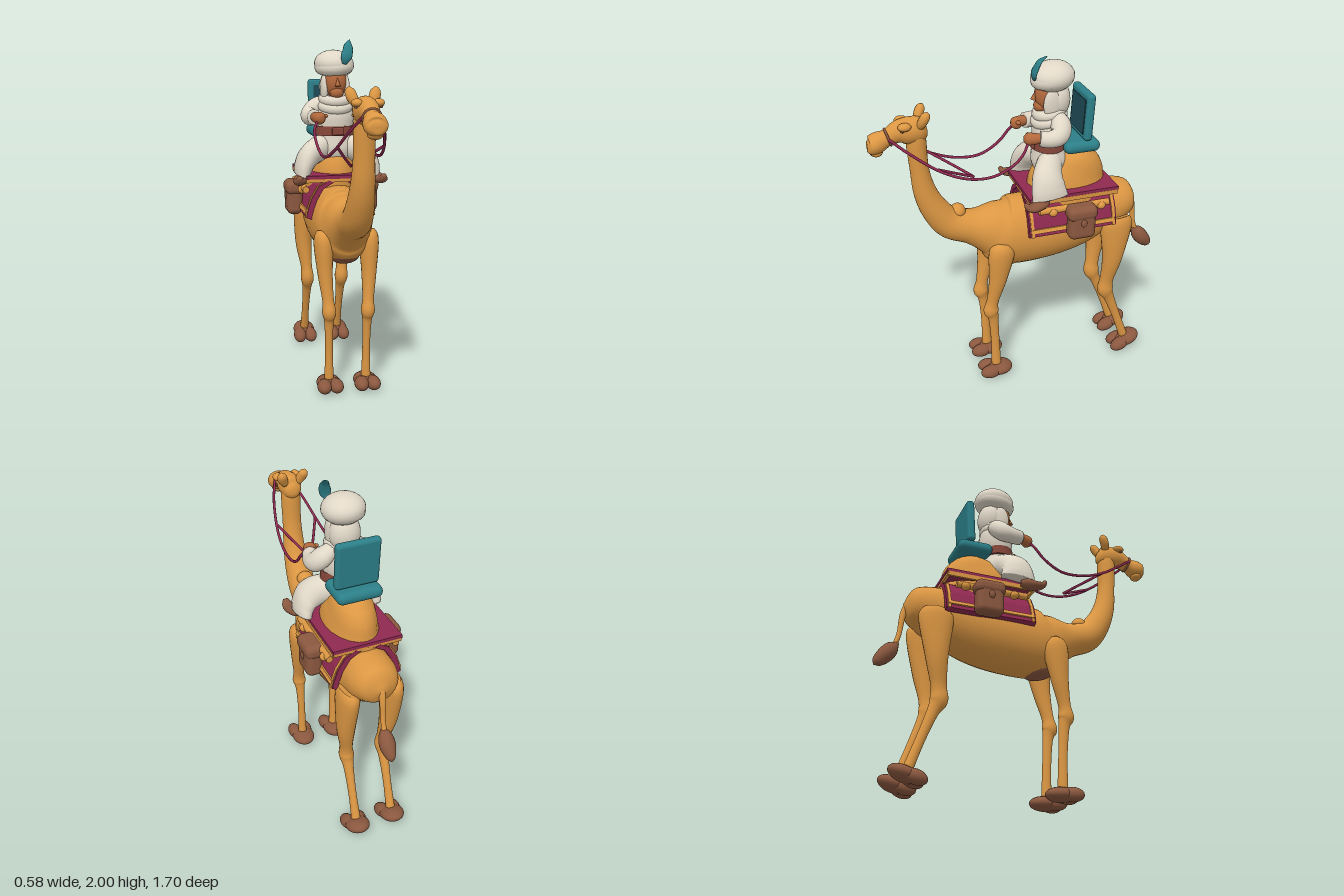
import * as THREE from 'three';
import { RoundedBoxGeometry } from 'three/addons/geometries/RoundedBoxGeometry.js';

const mat = (name, color) => Object.assign(new THREE.MeshStandardMaterial({ color }), { name });

// Smooth closed body through sections [x, y, z, half width, half height]
function loft(sections, rings = 28, segs = 20) {
  const path = new THREE.CatmullRomCurve3(sections.map(p => new THREE.Vector3(p[0], p[1], p[2])), false, 'catmullrom');
  const size = new THREE.CatmullRomCurve3(sections.map(p => new THREE.Vector3(p[3], p[4], 0)), false, 'catmullrom');
  const pos = [], idx = [];
  for (let i = 0; i <= rings + 2; i++) {
    const u = THREE.MathUtils.clamp((i - 1) / rings, 0, 1);
    const cap = i === 0 || i === rings + 2 ? 0 : 1;
    const c = path.getPoint(u), r = size.getPoint(u), t = path.getTangent(u);
    const s = new THREE.Vector3(1, 0, 0).addScaledVector(t, -t.x).normalize();
    const n = new THREE.Vector3().crossVectors(t, s);
    for (let j = 0; j < segs; j++) {
      const a = j / segs * Math.PI * 2;
      const p = c.clone().addScaledVector(s, cap * r.x * Math.cos(a)).addScaledVector(n, cap * r.y * Math.sin(a));
      pos.push(p.x, p.y, p.z);
      if (i > 0) {
        const k = (j + 1) % segs, lo = (i - 1) * segs, hi = i * segs;
        idx.push(lo + j, lo + k, hi + j, lo + k, hi + k, hi + j);
      }
    }
  }
  const g = new THREE.BufferGeometry();
  g.setAttribute('position', new THREE.Float32BufferAttribute(pos, 3));
  g.setIndex(idx);
  g.computeVertexNormals();
  return g;
}

export function createModel() {
  const root = new THREE.Group();
  const coat = mat('camel coat', 0xdc9743), brown = mat('brown leather', 0x8b583f);
  const maroon = mat('maroon cloth', 0x8f2950), white = mat('white robe', 0xe0d7c7);
  const teal = mat('teal cushion', 0x2c7f88), skin = mat('skin', 0xb3693d);
  const sash = mat('red brown sash', 0x86463a), shade = mat('dark teal lining', 0x1f4a55);

  const add = (name, geo, m, pos = [0, 0, 0], rot = [0, 0, 0], parent = root) => {
    const mesh = new THREE.Mesh(geo, m);
    mesh.name = name;
    mesh.position.set(...pos);
    mesh.rotation.set(...rot);
    parent.add(mesh);
    return mesh;
  };
  const ball = (name, m, pos, r, rot, parent) => add(name, new THREE.SphereGeometry(1, 24, 16).scale(...r), m, pos, rot, parent);
  const rod = (name, m, pts, r) => add(name, new THREE.TubeGeometry(
    new THREE.CatmullRomCurve3(pts.map(p => new THREE.Vector3(...p))), 28, r, 8), m);

  // Camel trunk and neck in one sweep, then head and hump
  add('bodyAndNeck', loft([[0, 1.05, -.705, .02, .02], [0, 1.05, -.67, .1, .095], [0, 1.05, -.6, .138, .132], [0, 1.03, -.5, .15, .16],
    [0, .98, -.3, .175, .2], [0, .955, -.1, .18, .213], [0, .955, .1, .165, .212], [0, .985, .2, .135, .16], [0, 1.015, .31, .1, .105],
    [0, 1.06, .43, .085, .092], [0, 1.16, .51, .075, .078], [0, 1.28, .56, .064, .064], [0, 1.42, .582, .057, .052],
    [0, 1.58, .59, .058, .055], [0, 1.66, .59, .05, .05]], 80, 28), coat);
  ball('neckLump', coat, [0, 1.125, .38], [.05, .045, .045]);
  add('head', loft([[0, 1.655, .53, .02, .02], [0, 1.65, .555, .055, .065], [0, 1.65, .62, .066, .075], [0, 1.65, .68, .056, .062],
    [0, 1.625, .74, .045, .046], [0, 1.605, .79, .06, .056], [0, 1.59, .83, .058, .05], [0, 1.59, .85, .03, .025]]), coat);
  ball('lowerLip', coat, [0, 1.55, .805], [.04, .024, .035]);
  add('hump', loft([[0, 1.1, -.28, .16, .24], [0, 1.22, -.275, .148, .24], [0, 1.32, -.295, .125, .2],
    [0, 1.39, -.3, .1, .14], [0, 1.435, -.3, .05, .07]]), coat);
  ball('chestPad', brown, [0, .785, .12], [.085, .05, .11], [-.3, 0, 0]);
  add('noseband', new THREE.TorusGeometry(.046, .007, 8, 24), brown, [0, 1.627, .738], [.3, 0, 0]);

  // Tail with tuft
  add('tail', loft([[0, 1.1, -.67, .02, .02], [0, 1.0, -.705, .018, .018], [0, .88, -.72, .014, .014], [0, .79, -.745, .015, .015]]), coat);
  add('tailTuft', loft([[0, .82, -.725, .012, .01], [0, .785, -.755, .038, .04], [0, .74, -.79, .044, .045], [0, .695, -.83, .026, .03], [0, .675, -.845, .004, .004]]), brown);

  // Broad padded foot with two toes in front
  const foot = (name, x, z, y, tilt) => {
    const g = new THREE.Group();
    g.name = name;
    ball('heel', brown, [0, 0, -.02], [.07, .041, .085], [0, 0, 0], g);
    for (const s of [-1, 1]) ball('toe', brown, [s * .034, 0, .038], [.042, .04, .066], [0, s * .1, 0], g);
    g.position.set(x, y, z);
    g.rotation.x = tilt;
    root.add(g);
  };

  for (const s of [-1, 1]) {
    // Legs, ears, brows and eyes
    add('frontLeg', loft([[s * .125, .94, .15, .04, .04], [s * .132, .88, .162, .056, .076], [s * .128, .7, .187, .043, .053], [s * .117, .55, .218, .033, .036],
      [s * .113, .48, .228, .04, .046], [s * .112, .42, .215, .027, .031], [s * .11, .25, .205, .022, .026], [s * .11, .05, .2, .028, .03]], 36), coat);
    add('hindLeg', loft([[s * .12, .99, -.55, .05, .07], [s * .13, .94, -.55, .06, .1], [s * .132, .72, -.537, .052, .064], [s * .118, .56, -.515, .036, .044],
      [s * .113, .48, -.51, .042, .05], [s * .112, .41, -.54, .029, .033], [s * .112, .25, -.6, .023, .026], [s * .112, .08, -.66, .027, .028]], 36), coat);
    foot('frontFoot', s * .11, .205, .041, 0);
    foot('hindFoot', s * .112, -.657, .062, .33);
    add('ear', loft([[s * .04, 1.68, .57, .022, .022], [s * .058, 1.715, .557, .03, .026], [s * .068, 1.745, .542, .026, .024], [s * .072, 1.763, .535, .01, .01]], 14, 12), coat);
    ball('brow', coat, [s * .055, 1.692, .655], [.03, .022, .036]);
    ball('eye', brown, [s * .064, 1.675, .668], [.01, .009, .012]);

    // Draped saddle cloth, with trim set in from its edges
    const drape = (name, m, depth, z, off, thick, fromY) => {
      const pts = [[.07, 1.205], [.13, 1.17], [.172, 1.1], [.192, 1.04], [.203, .99]];
      const use = fromY ? [[.19, fromY], [.199, fromY - .022]] : pts;
      const ring = [...use.map(([x, y]) => [x + off, y]), ...use.slice().reverse().map(([x, y]) => [x - thick, y - thick * .4])];
      add(name, new THREE.ExtrudeGeometry(new THREE.Shape(ring.map(([x, y]) => new THREE.Vector2(s * x, y))), { depth, bevelEnabled: false }), m, [0, 0, z]);
    };
    drape('saddleCloth', maroon, .53, -.515, 0, .03);
    drape('frontTrim', coat, .018, -.012, .007, .001);
    drape('backTrim', coat, .018, -.506, .007, .001);
    drape('bottomTrim', coat, .51, -.505, .012, .001, 1.035);

    // Saddle rail, pegs and bag
    add('saddleRail', new THREE.CylinderGeometry(.02, .02, .42, 14), coat, [s * .195, 1.145, -.25], [Math.PI / 2, 0, 0]);
    for (const z of [-.12, -.41]) ball('railPeg', coat, [s * .205, 1.135, z], [.026, .024, .026]);
    add('bag', new RoundedBoxGeometry(.095, .195, .16, 5, .036), brown, [s * .233, 1.063, -.28]);
    add('bagFlap', new RoundedBoxGeometry(.11, .085, .178, 5, .036), brown, [s * .231, 1.128, -.28]);
    ball('bagClasp', brown, [s * .28, 1.075, -.28], [.009, .024, .018]);
    add('platformTrim', new THREE.BoxGeometry(.014, .026, .52), coat, [s * .194, 1.203, -.25]);

    // Rider's robed legs, curled shoes, arms and hands
    add('robeLeg', loft([[s * .03, 1.39, -.18, .06, .08], [s * .1, 1.375, -.13, .07, .08], [s * .165, 1.335, -.1, .066, .09],
      [s * .198, 1.28, -.095, .055, .098], [s * .21, 1.23, -.1, .046, .105]], 24), white);
    add('shoe', loft([[s * .215, 1.215, -.085, .02, .018], [s * .225, 1.212, -.05, .036, .03], [s * .238, 1.203, 0, .038, .025],
      [s * .245, 1.21, .036, .03, .02], [s * .247, 1.235, .055, .014, .012]], 20, 14), brown);
    add('sleeve', loft([[s * .05, 1.645, -.18, .04, .045], [s * .11, 1.615, -.19, .052, .058], [s * .15, 1.575, -.17, .05, .055],
      [s * .156, 1.56, -.12, .046, .048], [s * .14, 1.565, -.06, .042, .044]], 24), white);
    add('hand', loft([[s * .14, 1.565, -.075, .026, .026], [s * .13, 1.565, -.03, .032, .032], [s * .115, 1.562, 0, .036, .035], [s * .105, 1.56, .02, .016, .018]], 16, 14), skin);
    ball('thumb', skin, [s * .09, 1.575, -.01], [.022, .012, .014]);

    // Reins and lead strap
    rod('rein', maroon, [[s * .045, 1.63, .74], [s * .09, 1.55, .64], [s * .13, 1.44, .48], [s * .147, 1.385, .33],
      [s * .15, 1.385, .2], [s * .158, 1.445, .085], [s * .155, 1.51, .03], [s * .125, 1.56, 0]], .008);
    rod('leadStrap', maroon, [[s * .124, 1.46, .51], [s * .062, 1.39, .39], [0, 1.325, .28]], .008);
  }

  // Flat saddle platform
  add('saddlePlatform', new THREE.BoxGeometry(.4, .02, .535), maroon, [0, 1.224, -.25]);
  for (const z of [.006, -.506]) add('platformEnd', new THREE.BoxGeometry(.39, .02, .016), coat, [0, 1.204, z]);

  // Seat cushion and backrest with its lining
  add('seatCushion', new RoundedBoxGeometry(.26, .07, .21, 5, .034), teal, [0, 1.465, -.325]);
  add('backrest', new RoundedBoxGeometry(.25, .27, .048, 5, .02), teal, [0, 1.635, -.36], [-.06, 0, 0]);
  add('backrestLining', new THREE.BoxGeometry(.19, .2, .006), shade, [0, 1.635, -.334], [-.06, 0, 0]);

  // Rider torso, sash and shawl
  add('robe', loft([[0, 1.3, -.17, .1, .08], [0, 1.38, -.16, .12, .1], [0, 1.46, -.155, .102, .085], [0, 1.55, -.165, .112, .1],
    [0, 1.62, -.175, .1, .088], [0, 1.67, -.175, .06, .06]], 30, 24), white);
  add('belt', new THREE.CylinderGeometry(.113, .116, .055, 28).scale(1, 1, .82), sash, [0, 1.48, -.155]);
  add('beltBuckle', new RoundedBoxGeometry(.07, .045, .02, 3, .008), sash, [0, 1.48, -.06]);
  add('shawl', new THREE.TorusGeometry(.066, .032, 12, 28), white, [0, 1.66, -.16], [Math.PI / 2 + .2, 0, 0]);
  add('shawlFold', new THREE.TorusGeometry(.078, .03, 12, 28), white, [0, 1.625, -.16], [Math.PI / 2 + .3, 0, 0]);

  // Rider head, headcloth, turban and feather
  ball('face', skin, [0, 1.76, -.15], [.068, .095, .075]);
  add('nose', new THREE.ConeGeometry(.016, .055, 10), skin, [0, 1.765, -.074], [-.25, 0, 0]);
  ball('beard', skin, [0, 1.7, -.105], [.04, .035, .035]);
  ball('headcloth', white, [0, 1.73, -.2], [.085, .11, .078]);
  for (const s of [-1, 1]) ball('headclothSide', white, [s * .065, 1.72, -.155], [.022, .085, .05]);
  ball('turban', white, [0, 1.862, -.178], [.117, .082, .122], [.1, 0, -.06]);
  add('turbanWrap', new THREE.TorusGeometry(.078, .038, 14, 32).scale(1, 1.06, 1.1), white, [0, 1.85, -.176], [Math.PI / 2 + .14, .08, 0]);
  add('feather', loft([[.035, 1.865, -.06, .012, .01], [.045, 1.9, -.055, .032, .014], [.058, 1.94, -.066, .03, .012],
    [.063, 1.97, -.082, .024, .01], [.078, 2.0, -.115, .003, .003]], 20, 12), teal);
  return root;
}
